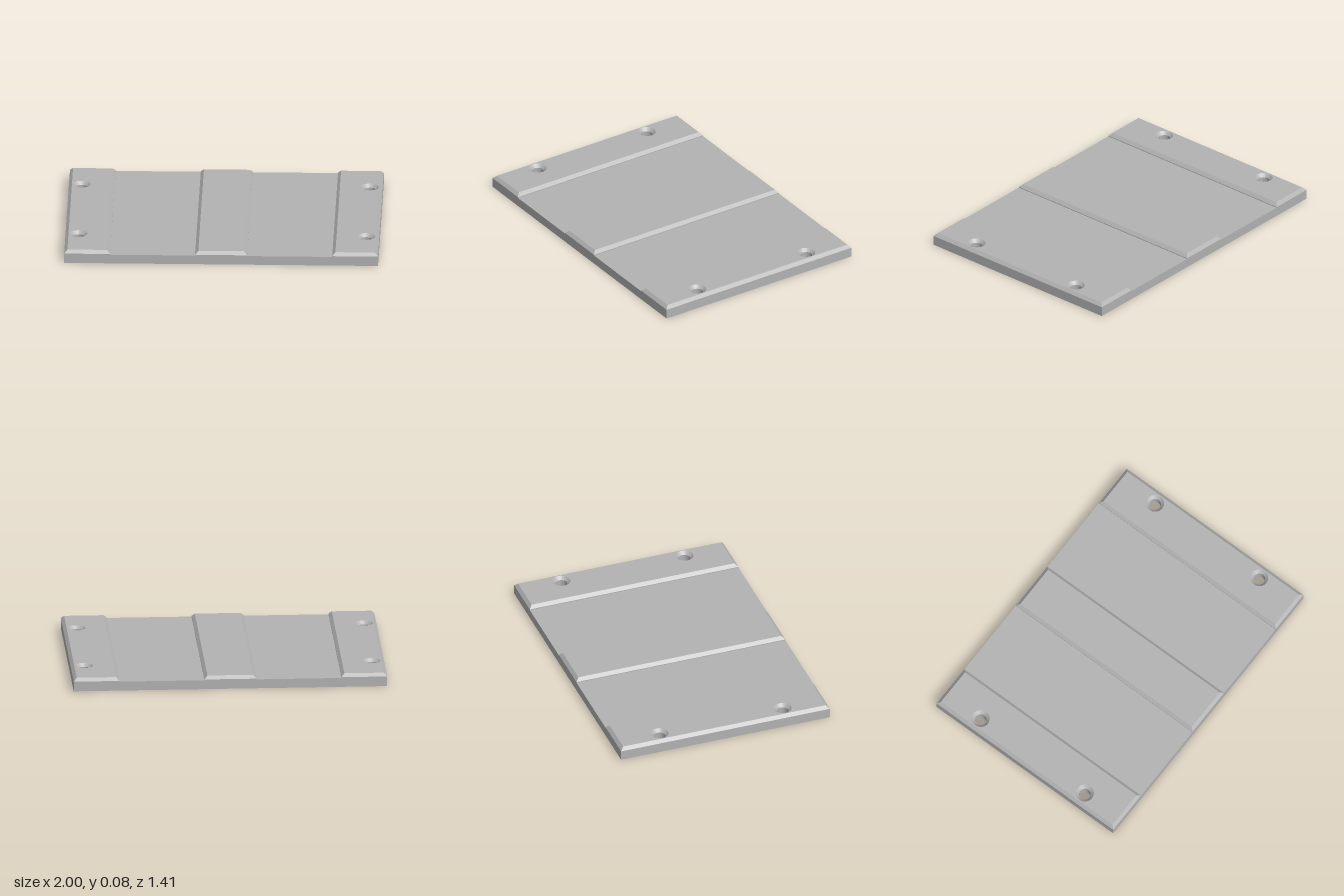
import * as THREE from 'three';
import { toCreasedNormals } from 'three/addons/utils/BufferGeometryUtils.js';

const HALF_DEPTH = 0.707, PLATE_TOP = 0.059, WALL_TOP = 0.064, CHAMFER = 0.02;
const HOLE_X = 0.917, HOLE_Z = 0.417, HOLE_R = 0.037;

// Rectangle from x0 to x1 over the full depth, with screw holes at the given x positions
function outline(x0, x1, holeXs) {
  const shape = new THREE.Shape([
    new THREE.Vector2(x0, -HALF_DEPTH), new THREE.Vector2(x1, -HALF_DEPTH),
    new THREE.Vector2(x1, HALF_DEPTH), new THREE.Vector2(x0, HALF_DEPTH),
  ]);
  for (const x of holeXs) {
    for (const z of [-HOLE_Z, HOLE_Z]) {
      shape.holes.push(new THREE.Path().absarc(x, z, HOLE_R, 0, Math.PI * 2, true));
    }
  }
  return shape;
}

// Upright extrusion whose straight walls start at height y
function slab(name, shape, y, options, material) {
  const extruded = new THREE.ExtrudeGeometry(shape, { curveSegments: 32, ...options });
  extruded.rotateX(-Math.PI / 2).translate(0, y, 0);
  const mesh = new THREE.Mesh(toCreasedNormals(extruded, 0.5), material);
  mesh.name = name;
  return mesh;
}

export function createModel() {
  const group = new THREE.Group();
  group.name = 'mountingPlate';
  const grey = new THREE.MeshStandardMaterial({ color: 0xb2b2b2 });
  grey.name = 'grey';

  // Base plate with four through holes
  group.add(slab('basePlate', outline(-1, 1, [-HOLE_X, HOLE_X]), 0,
    { depth: PLATE_TOP, bevelEnabled: false }, grey));

  // Raised pads: the bevel chamfers the rim and countersinks the holes;
  // the matching lower bevel is buried in the plate
  const bevel = {
    depth: WALL_TOP - PLATE_TOP, bevelEnabled: true, bevelSegments: 1,
    bevelThickness: CHAMFER, bevelSize: CHAMFER, bevelOffset: -CHAMFER,
  };
  const pads = [
    ['rightPad', -1, -0.708, [-HOLE_X]],
    ['centrePad', -0.166, 0.166, []],
    ['leftPad', 0.708, 1, [HOLE_X]],
  ];
  for (const [name, x0, x1, holeXs] of pads) {
    group.add(slab(name, outline(x0, x1, holeXs), PLATE_TOP, bevel, grey));
  }
  return group;
}
